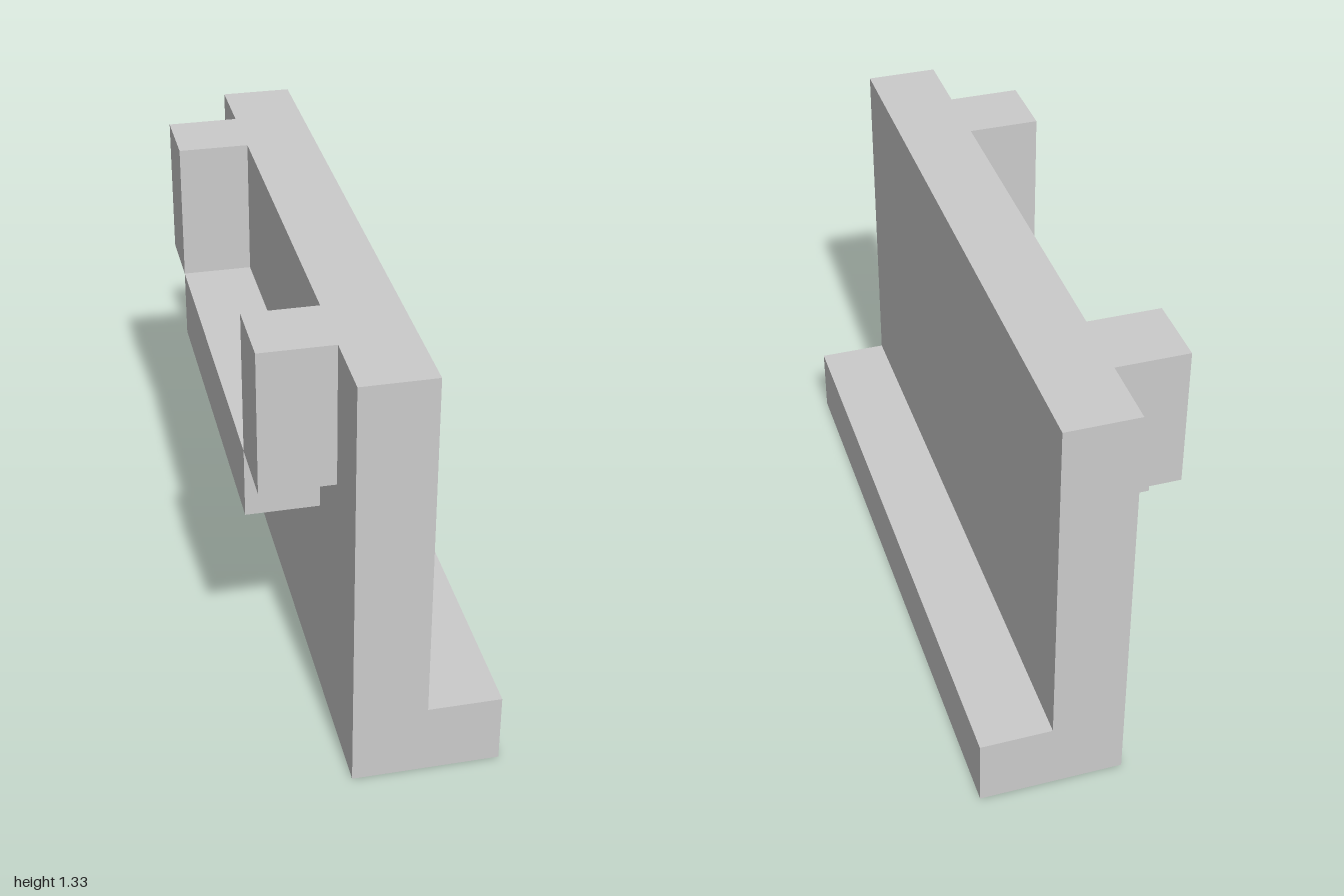
import * as THREE from 'three';

const U = 2 / 9; // one block of the building grid
const material = new THREE.MeshStandardMaterial({ color: 0xcccccc, flatShading: true });

// Box from its size and centre, both in grid blocks
function block(name, [w, h, d], [x, y, z]) {
  const mesh = new THREE.Mesh(new THREE.BoxGeometry(w * U, h * U, d * U), material);
  mesh.position.set(x * U, y * U, z * U);
  mesh.name = name;
  return mesh;
}

export function createModel() {
  const model = new THREE.Group();
  model.name = 'ledgedWall';

  // Upright wall and foot ledge: one L-shaped profile swept along z
  const profile = [[-0.5, 0], [1.5, 0], [1.5, 1], [0.5, 1], [0.5, 6], [-0.5, 6]];
  const shape = new THREE.Shape(profile.map(([x, y]) => new THREE.Vector2(x * U, y * U)));
  const geometry = new THREE.ExtrudeGeometry(shape, { depth: 9 * U, bevelEnabled: false });
  geometry.translate(0, 0, -4.5 * U);
  const wall = new THREE.Mesh(geometry, material);
  wall.name = 'wallWithLedge';
  model.add(wall);

  // Open-topped cradle on the other side: a low bar between two posts
  const cradle = new THREE.Group();
  cradle.name = 'cradle';
  cradle.add(block('cradleBar', [1, 1, 5], [-1, 3.5, 0]));
  for (const [name, side] of [['frontPost', 1], ['backPost', -1]]) {
    cradle.add(block(name, [1, 2, 1], [-1, 5, 3 * side]));
  }
  model.add(cradle);

  return model;
}
